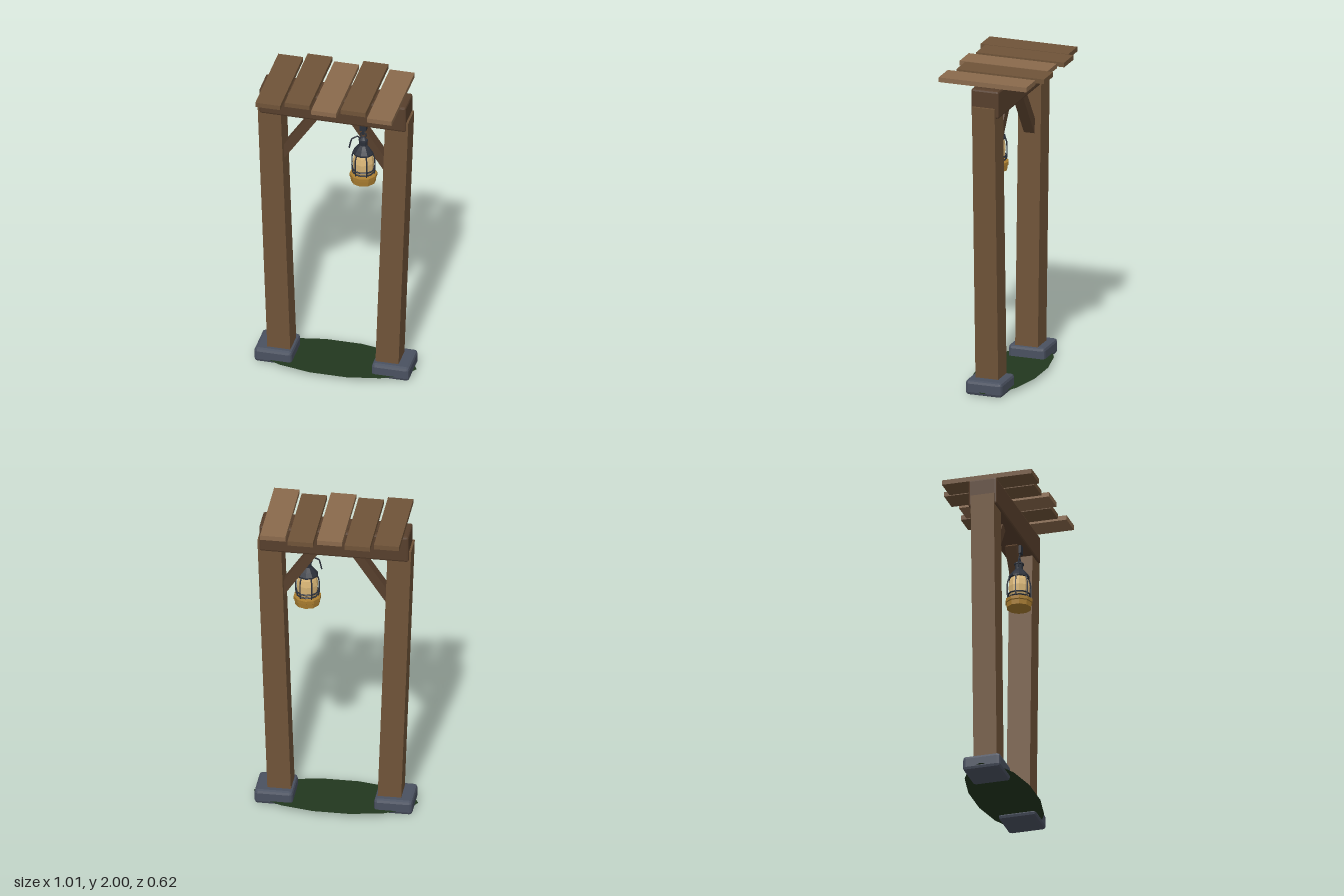
import * as THREE from 'three';
import { RoundedBoxGeometry } from 'three/addons/geometries/RoundedBoxGeometry.js';

const paint = (color, side = THREE.FrontSide) =>
  new THREE.MeshStandardMaterial({ color, flatShading: true, side });

const wood = paint(0x6f5338), lightWood = paint(0x8a6a4c), darkWood = paint(0x573f2c);
const stone = paint(0x4a5160), moss = paint(0x22371f, THREE.DoubleSide);
const iron = paint(0x2b303a), brass = paint(0xa87c30), glow = paint(0xdcb878);

function add(parent, name, geometry, material, x = 0, y = 0, z = 0) {
  const mesh = new THREE.Mesh(geometry, material);
  mesh.name = name;
  mesh.position.set(x, y, z);
  parent.add(mesh);
  return mesh;
}

const lathe = (points, sides) =>
  new THREE.LatheGeometry(points.map(([r, y]) => new THREE.Vector2(r, y)), sides);

// A rod running through a few points
function rod(points, radius) {
  const path = new THREE.CurvePath();
  const v = points.map(p => new THREE.Vector3(...p));
  for (let i = 1; i < v.length; i++) path.add(new THREE.LineCurve3(v[i - 1], v[i]));
  return new THREE.TubeGeometry(path, (v.length - 1) * 4, radius, 5);
}

function createLantern() {
  const lantern = new THREE.Group();
  lantern.name = 'lantern';

  // Brass foot, glass and iron cap; y = 0 is the underside of the foot
  add(lantern, 'lanternBase', lathe([[0, 0], [0.077, 0], [0.079, 0.03], [0.085, 0.034],
    [0.085, 0.055], [0.06, 0.062], [0, 0.062]], 10), brass);
  add(lantern, 'lanternGlass', lathe([[0.05, 0.06], [0.062, 0.09], [0.066, 0.14],
    [0.06, 0.18], [0.05, 0.208]], 10), glow);
  add(lantern, 'lanternCap', lathe([[0, 0.2], [0.066, 0.2], [0.066, 0.21], [0.048, 0.235],
    [0.026, 0.26], [0.026, 0.29], [0.032, 0.292], [0.03, 0.3], [0.012, 0.315], [0, 0.315]], 10), iron);

  // Guard rings and bars
  for (const [y, r] of [[0.068, 0.066], [0.09, 0.068]]) {
    const ring = add(lantern, 'guardRing', new THREE.TorusGeometry(r, 0.005, 5, 12), iron, 0, y, 0);
    ring.rotation.x = Math.PI / 2;
  }
  for (let i = 0; i < 6; i++) {
    const bar = add(lantern, 'guardBar',
      rod([[0.068, 0.06, 0], [0.073, 0.09, 0], [0.072, 0.17, 0], [0.058, 0.21, 0]], 0.0045), iron);
    bar.rotation.y = i * Math.PI / 3;
  }

  // Carrying handle tipped to one side
  add(lantern, 'handle', rod([[-0.085, 0.235, 0.02], [-0.07, 0.3, 0.02], [-0.035, 0.32, 0.01],
    [-0.015, 0.295, 0]], 0.005), iron);

  // Hanger: chain link and bracket below the beam
  add(lantern, 'hangingLink', new THREE.TorusGeometry(0.018, 0.006, 5, 10), iron, 0, 0.33, 0);
  add(lantern, 'hangingRod', new THREE.CylinderGeometry(0.009, 0.009, 0.05, 6), iron, 0, 0.355, 0);
  add(lantern, 'bracket', new THREE.BoxGeometry(0.04, 0.06, 0.04), iron, 0, 0.395, 0);
  return lantern;
}

export function createModel() {
  const model = new THREE.Group();
  model.name = 'lanternGate';

  // Mossy ground patch
  const ground = add(model, 'groundPatch', new THREE.CircleGeometry(1, 14), moss, 0, 0.025, -0.004);
  ground.rotation.x = -Math.PI / 2;
  ground.scale.set(0.507, 0.2, 1);

  // Mirrored posts, feet and braces
  for (const s of [-1, 1]) {
    add(model, 'footStone', new RoundedBoxGeometry(0.237, 0.094, 0.238, 1, 0.02), stone,
      s * 0.369, 0.047, -0.004);

    const post = add(model, 'post', new THREE.BoxGeometry(0.145, 1.81, 0.148), wood, s * 0.37, 0.945, 0);
    post.rotation.z = -s * 0.035;

    const brace = add(model, 'brace', new THREE.BoxGeometry(0.057, 0.41, 0.07), darkWood,
      s * 0.245, 1.603, 0);
    brace.rotation.z = s * 0.593;
  }

  // Top beam
  add(model, 'beam', new RoundedBoxGeometry(0.922, 0.178, 0.18, 1, 0.013), darkWood, 0, 1.87, -0.004);

  // Uneven roof planks: x, back z, front z, y, material
  const planks = [
    [-0.352, -0.27, 0.302, 1.981, wood],
    [-0.177, -0.31, 0.264, 1.985, wood],
    [0, -0.27, 0.304, 1.981, lightWood],
    [0.174, -0.312, 0.26, 1.985, wood],
    [0.351, -0.264, 0.308, 1.981, lightWood],
  ];
  for (const [x, back, front, y, material] of planks) {
    add(model, 'roofPlank', new THREE.BoxGeometry(0.156, 0.03, front - back), material,
      x, y, (front + back) / 2);
  }
  // Battens between the beam and the planks
  add(model, 'plankRest', new THREE.BoxGeometry(0.84, 0.02, 0.1), darkWood, 0, 1.96, -0.004);

  const lantern = createLantern();
  lantern.position.set(0.182, 1.365, 0.033);
  model.add(lantern);

  return model;
}
